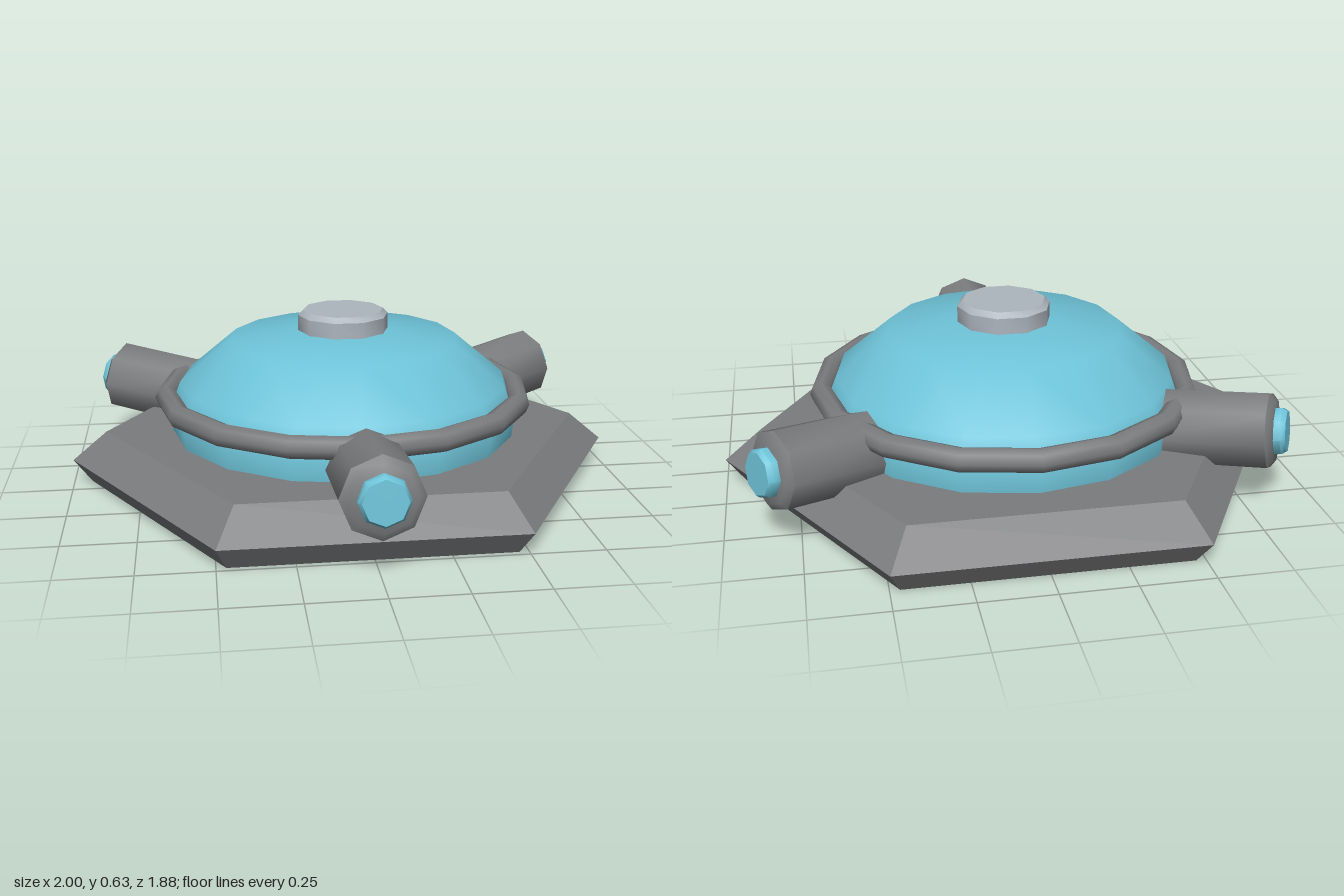
import * as THREE from 'three';
import { toCreasedNormals } from 'three/addons/utils/BufferGeometryUtils.js';

const paint = (name, color) => {
  const m = new THREE.MeshStandardMaterial({ color });
  m.name = name;
  return m;
};

// Turned solid from [radius, height] pairs, listed bottom to top
function turned(points, sides, start = 0) {
  const profile = points.map(([r, y]) => new THREE.Vector2(r, y));
  return new THREE.LatheGeometry(profile, sides, start);
}

export function createModel() {
  const grey = paint('grey metal', 0x7b7c7e);
  const teal = paint('teal glass', 0x6ec3d8);
  const silver = paint('light silver', 0xadb5be);
  const dark = paint('dark underside', 0x24292b);

  const model = new THREE.Group();
  model.name = 'hexagonalDomeDevice';
  const body = new THREE.Group();
  body.name = 'body';
  body.position.z = -0.08;
  model.add(body);

  const add = (parent, name, geometry, material) => {
    const mesh = new THREE.Mesh(geometry, material);
    mesh.name = name;
    parent.add(mesh);
    return mesh;
  };

  // Hexagonal base with bevelled rim, points towards left and right
  const base = turned([[0.935, 0], [1, 0.085], [0.875, 0.19], [0, 0.19]], 6, Math.PI / 6);
  add(body, 'base', toCreasedNormals(base, 0.4), grey);
  const under = add(body, 'underside', new THREE.CircleGeometry(0.935, 6), dark);
  under.rotation.x = Math.PI / 2;

  // Faceted smooth dome
  add(body, 'dome', turned([
    [0.63, 0.18], [0.64, 0.27], [0.6, 0.37], [0.415, 0.525], [0.15, 0.553], [0, 0.556],
  ], 16), teal);

  // Ring around the dome
  const ring = add(body, 'ring', new THREE.TorusGeometry(0.65, 0.041, 8, 16), grey);
  ring.rotation.x = Math.PI / 2;
  ring.position.y = 0.315;

  // Cap on top of the dome
  const cap = turned([[0.165, 0.54], [0.165, 0.608], [0.147, 0.626], [0, 0.626]], 10, Math.PI / 10);
  add(body, 'topCap', toCreasedNormals(cap, 0.68), silver);

  // Three slightly raised barrels with lenses
  const barrelShape = toCreasedNormals(turned([
    [0, 0], [0.135, 0], [0.135, 0.455], [0.108, 0.475], [0, 0.475],
  ], 8), 0.82);
  const lensShape = toCreasedNormals(turned([
    [0.083, 0.46], [0.083, 0.497], [0.072, 0.513], [0, 0.513],
  ], 8), 0.82);
  ['front', 'backLeft', 'backRight'].forEach((side, i) => {
    const arm = new THREE.Group();
    arm.name = side + 'Arm';
    arm.rotation.y = (i * Math.PI * 2) / 3;
    const barrel = new THREE.Group();
    barrel.name = side + 'BarrelAssembly';
    barrel.position.set(0, 0.222, 0.5);
    barrel.rotation.x = Math.PI / 2 - 0.1;
    add(barrel, side + 'Barrel', barrelShape, grey);
    add(barrel, side + 'Lens', lensShape, teal);
    arm.add(barrel);
    body.add(arm);
  });

  return model;
}
